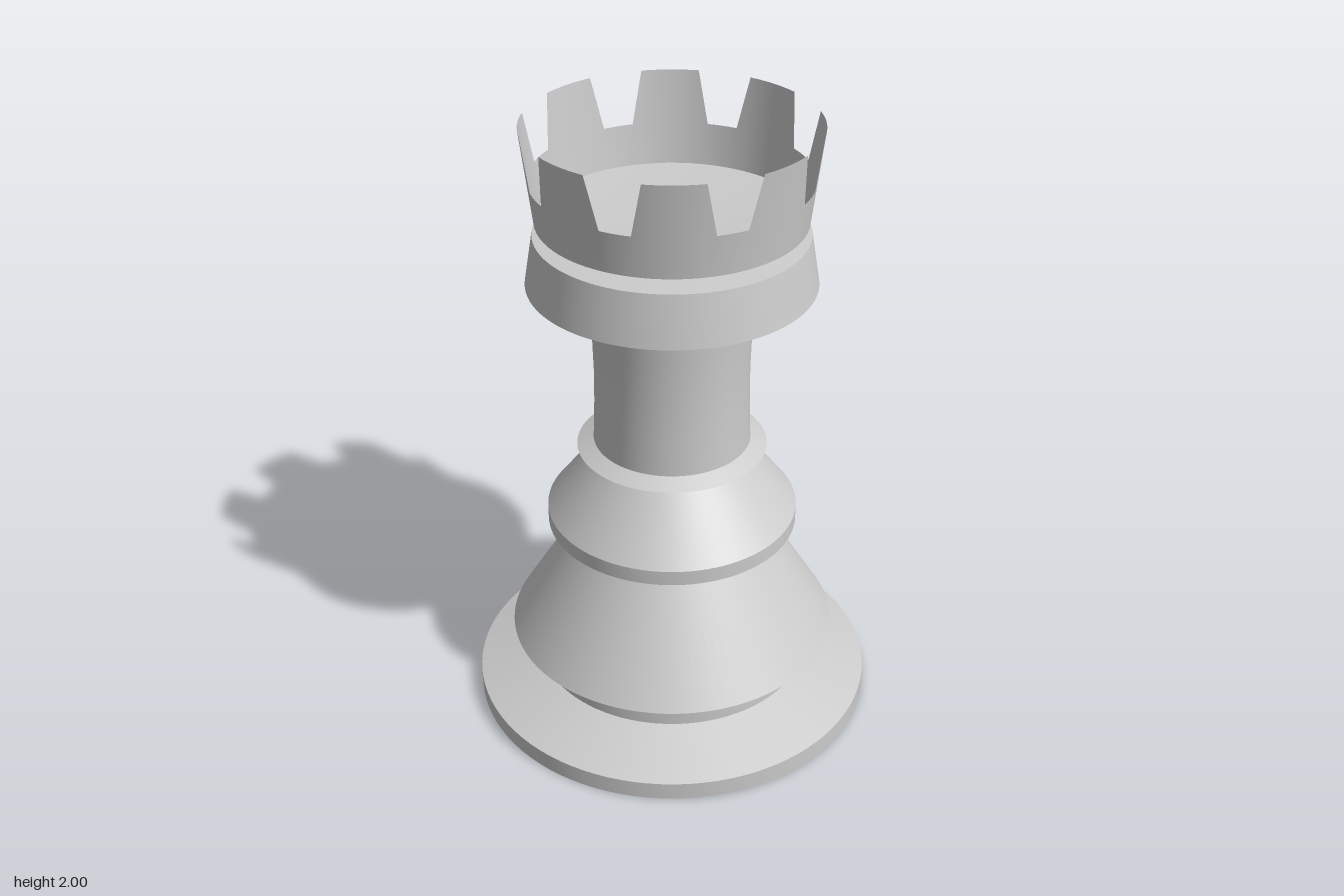
import * as THREE from 'three';
import { toCreasedNormals } from 'three/addons/utils/BufferGeometryUtils.js';

const SIDES = 96;

// Turned parts, each a [radius, height] profile from bottom to top
const TURNED = {
  foot: [[0, 0], [0.655, 0], [0.655, 0.06], [0.45, 0.128], [0.45, 0.185]],
  skirt: [[0.45, 0.185], [0.535, 0.245], [0.317, 0.605], [0.317, 0.62]],
  shoulder: [[0.317, 0.62], [0.404, 0.65], [0.404, 0.7], [0.25, 0.9]],
  neckRing: [[0.25, 0.9], [0.303, 0.925], [0.25, 0.95]],
  column: [[0.25, 0.95], [0.245, 1.08], [0.244, 1.2], [0.248, 1.35], [0.257, 1.5]],
  collar: [[0.257, 1.5], [0.445, 1.5], [0.418, 1.662], [0.16, 1.683]],
  crownFloor: [[0, 1.687], [0.16, 1.687], [0.41, 1.705]],
};

// Thin flared wall whose top edge dips into slanted notches
function crownWall() {
  const notches = 8, pitch = (Math.PI * 2) / notches;
  const bottomY = 1.705, notchY = 1.835, topY = 2;
  const radiusAt = (y) => THREE.MathUtils.lerp(0.41, 0.445, (y - bottomY) / (topY - bottomY));

  // Angles and top heights for one notch and the tooth after it
  const floorHalf = 0.113, rimHalf = 0.192, toothSteps = 10;
  const edge = [[-rimHalf, topY], [-floorHalf, notchY], [-floorHalf / 3, notchY],
    [floorHalf / 3, notchY], [floorHalf, notchY]];
  for (let i = 0; i < toothSteps; i++) {
    edge.push([rimHalf + ((pitch - 2 * rimHalf) * i) / toothSteps, topY]);
  }

  const positions = [], index = [];
  for (let n = 0; n < notches; n++) {
    for (const [offset, top] of edge) {
      const a = n * pitch + offset;
      for (const y of [bottomY, top]) {
        positions.push(radiusAt(y) * Math.sin(a), y, radiusAt(y) * Math.cos(a));
      }
    }
  }
  const columns = notches * edge.length;
  for (let i = 0; i < columns; i++) {
    const a = i * 2, b = ((i + 1) % columns) * 2;
    index.push(a, b, b + 1, a, b + 1, a + 1);
  }
  const geometry = new THREE.BufferGeometry();
  geometry.setAttribute('position', new THREE.Float32BufferAttribute(positions, 3));
  geometry.setIndex(index);
  geometry.computeVertexNormals();
  return geometry;
}

export function createModel() {
  const group = new THREE.Group();
  group.name = 'chessRook';
  const material = new THREE.MeshStandardMaterial({ color: 0xcccccc });
  const sheet = new THREE.MeshStandardMaterial({ color: 0xcccccc, side: THREE.DoubleSide });

  const add = (name, geometry, mat) => {
    const mesh = new THREE.Mesh(geometry, mat);
    mesh.name = name;
    group.add(mesh);
  };

  for (const [name, profile] of Object.entries(TURNED)) {
    const points = profile.map(([r, y]) => new THREE.Vector2(r, y));
    const lathe = new THREE.LatheGeometry(points, SIDES);
    add(name, toCreasedNormals(lathe, 0.3), name === 'crownFloor' ? sheet : material);
  }
  add('crownWall', crownWall(), sheet);
  return group;
}
